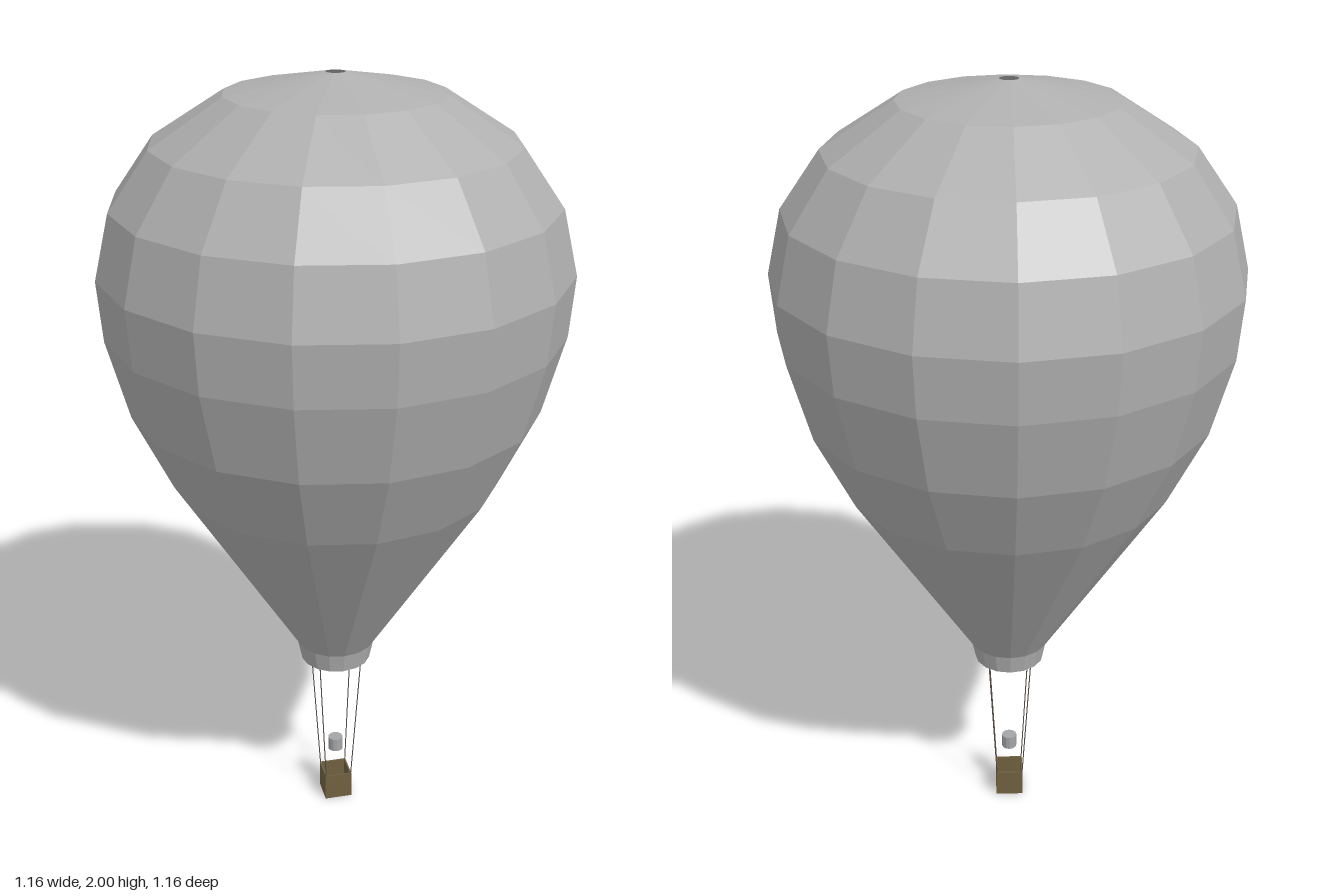
import * as THREE from 'three';

export function createModel() {
  const model = new THREE.Group();
  const mat = (name, color, extra = {}) =>
    Object.assign(new THREE.MeshStandardMaterial({ color, ...extra }), { name });
  const fabric = mat('grey fabric', 0xb0b0b0, { flatShading: true, side: THREE.DoubleSide });
  const metal = mat('burner metal', 0xa4a6a8, { flatShading: true });
  const wicker = mat('brown wicker', 0x70603f);
  const cord = mat('dark cord', 0x5a5048);

  const add = (name, geometry, material, parent = model) => {
    const mesh = new THREE.Mesh(geometry, material);
    mesh.name = name;
    parent.add(mesh);
    return mesh;
  };
  const lathe = (profile) =>
    new THREE.LatheGeometry(profile.map(([r, y]) => new THREE.Vector2(r, y)), 16);

  // Sixteen-gore envelope with a small vent at the crown
  add('envelope', lathe([
    [0.103, 0.5], [0.415, 0.99], [0.512, 1.19], [0.566, 1.39], [0.578, 1.54],
    [0.54, 1.7], [0.441, 1.84], [0.265, 1.953], [0.023, 2],
  ]), fabric);

  // Open skirt at the mouth
  add('skirt', lathe([[0.092, 0.447], [0.103, 0.5]]), fabric);

  // Burner hanging above the basket
  add('burner', new THREE.CylinderGeometry(0.02, 0.02, 0.037, 12), metal).position.y = 0.161;

  // Open basket: floor and four walls
  const basket = new THREE.Group();
  basket.name = 'basket';
  model.add(basket);
  const size = 0.074, wall = 0.004;
  add('basketFloor', new THREE.BoxGeometry(size, wall, size), wicker, basket).position.y = wall / 2;
  for (let i = 0; i < 4; i++) {
    const side = new THREE.BoxGeometry(size, size, wall);
    side.translate(0, size / 2, (size - wall) / 2);
    side.rotateY(i * Math.PI / 2);
    add('basketWall', side, wicker, basket);
  }

  // Suspension ropes from basket corners to the skirt
  for (const sx of [-1, 1]) for (const sz of [-1, 1]) {
    const rope = new THREE.LineCurve3(
      new THREE.Vector3(sx * 0.035, 0.07, sz * 0.035),
      new THREE.Vector3(sx * 0.057, 0.465, sz * 0.057));
    add('rope', new THREE.TubeGeometry(rope, 1, 0.0015, 5), cord);
  }

  return model;
}
